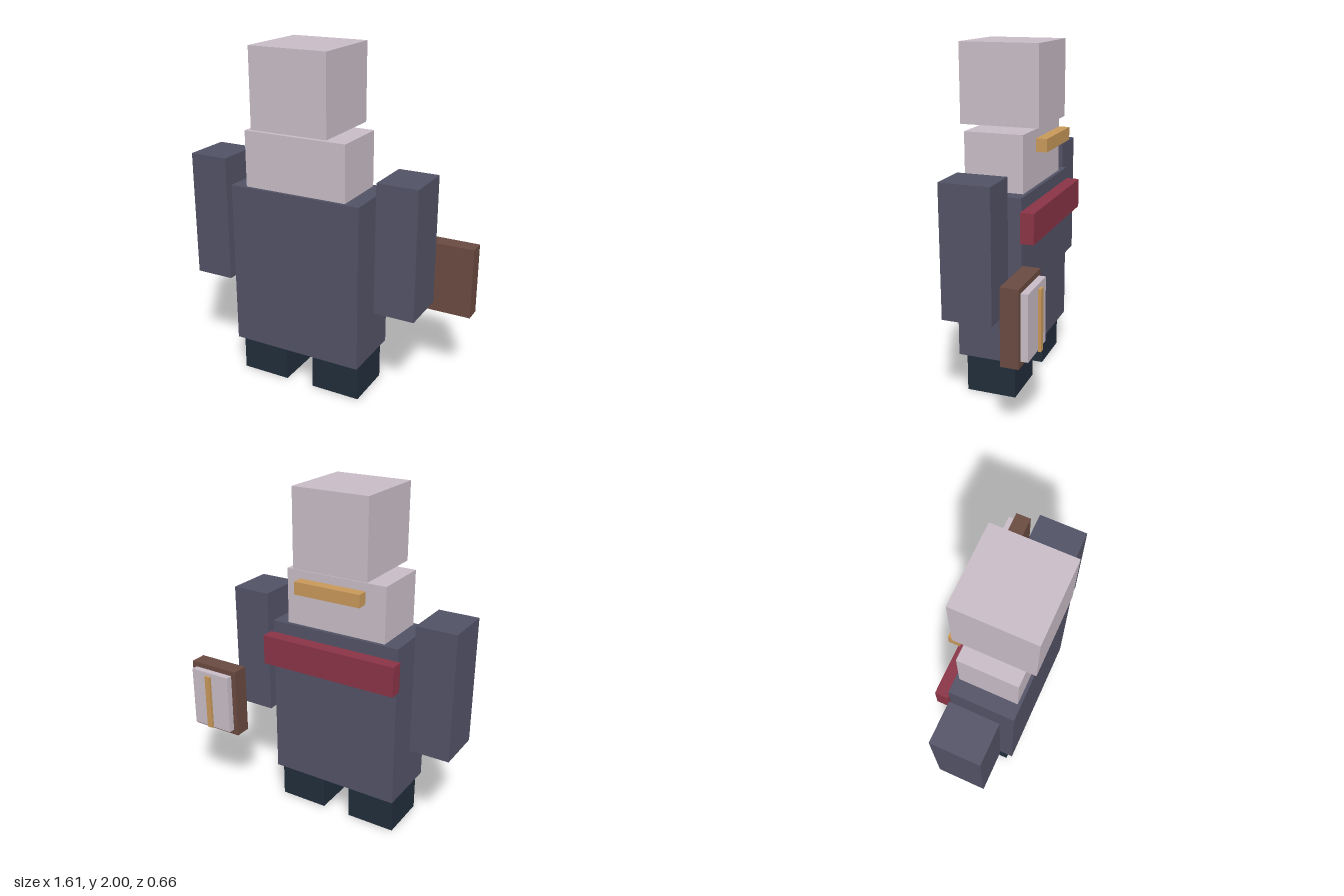
import * as THREE from 'three';

const mat = (name, color) => {
  const m = new THREE.MeshStandardMaterial({ color });
  m.name = name;
  return m;
};

export function createModel() {
  const model = new THREE.Group();
  model.name = 'blockFigure';
  const slate = mat('slate', 0x525266);
  const navy = mat('navy', 0x212d3b);
  const pale = mat('pale', 0xc8bcc6);
  const crimson = mat('crimson', 0x8a3446);
  const gold = mat('gold', 0xc8985a);
  const brown = mat('brown', 0x694a40);

  // Box given by its extents along each axis
  const block = (name, material, [x0, x1], [y0, y1], [z0, z1], parent = model) => {
    const mesh = new THREE.Mesh(new THREE.BoxGeometry(x1 - x0, y1 - y0, z1 - z0), material);
    mesh.name = name;
    mesh.position.set((x0 + x1) / 2, (y0 + y1) / 2, (z0 + z1) / 2);
    parent.add(mesh);
  };

  // Head, collar and torso
  block('head', pale, [-0.324, 0.14], [1.55, 2], [-0.133, 0.33]);
  block('collar', pale, [-0.406, 0.219], [1.2, 1.525], [-0.073, 0.272]);
  block('torso', slate, [-0.497, 0.309], [0.226, 1.2], [-0.095, 0.291]);

  // Arms and legs, mirrored about the body's own middle line
  const mid = -0.093;
  for (const [side, s] of [['left', 1], ['right', -1]]) {
    const span = (a, b) => [mid + s * a, mid + s * b].sort((p, q) => p - q);
    block(side + 'Arm', slate, span(0.478, 0.715), [0.58, 1.333], [-0.047, 0.241]);
    block(side + 'Leg', navy, span(0.088, 0.388), [0, 0.226], [-0.051, 0.246]);
  }

  // Bands across the back
  block('backSash', crimson, [-0.514, 0.328], [0.952, 1.128], [-0.173, -0.095]);
  block('neckBar', gold, [-0.3, 0.11], [1.417, 1.491], [-0.171, -0.107]);

  // Book beside the left hand
  const book = new THREE.Group();
  book.name = 'book';
  model.add(book);
  block('bookCover', brown, [0.48, 0.804], [0.464, 0.888], [-0.265, -0.166], book);
  block('bookPages', pale, [0.51, 0.775], [0.496, 0.858], [-0.304, -0.265], book);
  block('bookmark', gold, [0.625, 0.66], [0.505, 0.845], [-0.331, -0.315], book);

  return model;
}
